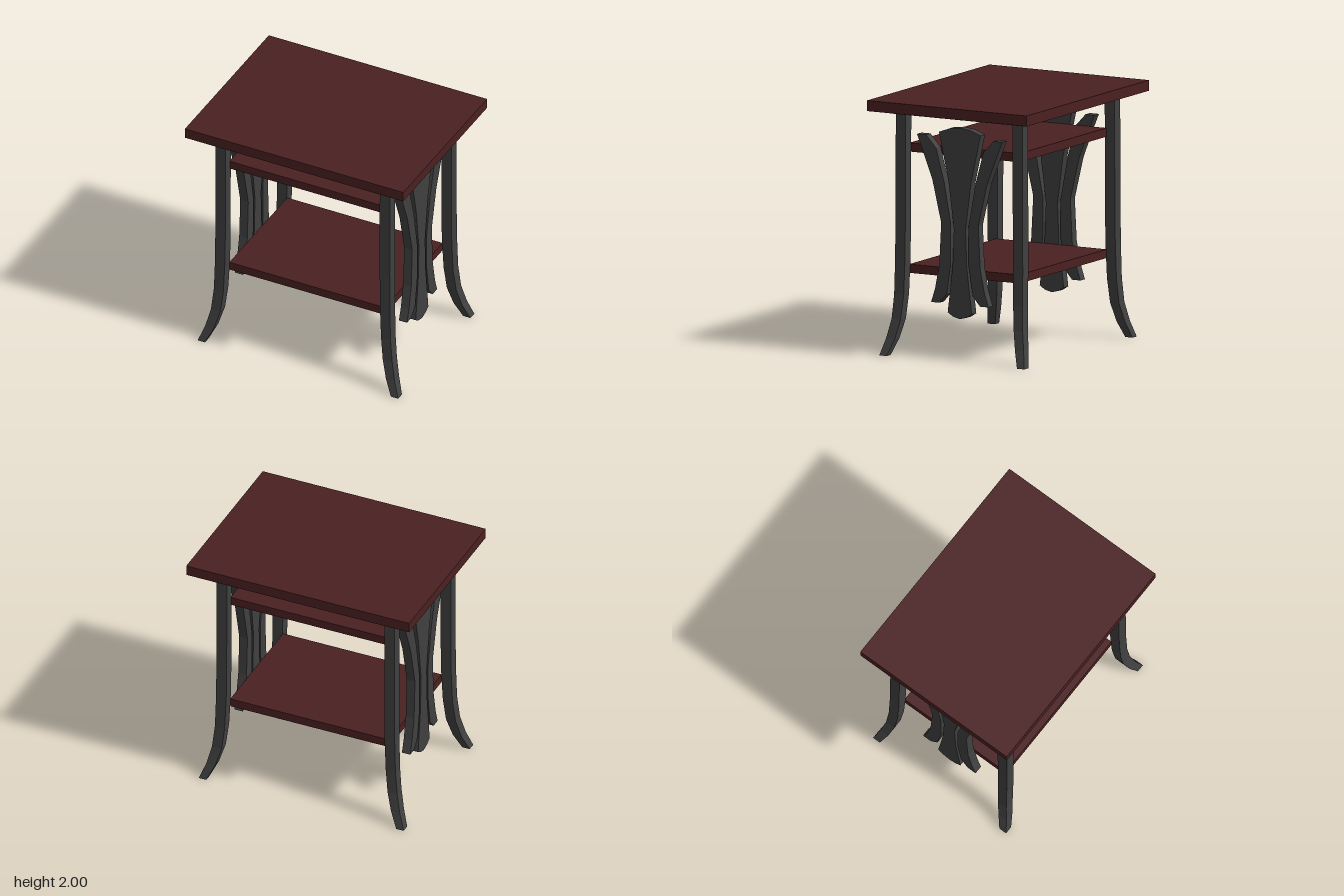
import * as THREE from 'three';

const wood = new THREE.MeshStandardMaterial({ color: 0x4a2021 });
wood.name = 'dark red wood';
const iron = new THREE.MeshStandardMaterial({ color: 0x404040, flatShading: true });
iron.name = 'charcoal grey';

function add(group, name, geometry, material, x = 0, y = 0, z = 0) {
  const mesh = new THREE.Mesh(geometry, material);
  mesh.name = name;
  mesh.position.set(x, y, z);
  group.add(mesh);
  return mesh;
}

// Leg cross-sections from foot to top: y, inner x, outer x, inner z, outer z
const legSections = [
  [0, 0.805, 0.868, 0.58, 0.645],
  [0.13, 0.745, 0.82, 0.535, 0.612],
  [0.28, 0.703, 0.785, 0.503, 0.583],
  [0.47, 0.683, 0.765, 0.487, 0.572],
  [0.75, 0.671, 0.757, 0.48, 0.568],
  [1.08, 0.668, 0.755, 0.478, 0.566],
  [1.89, 0.667, 0.755, 0.476, 0.563],
];

// Square leg, its box rings moved to follow the sections
function legGeometry(sx, sz) {
  const n = legSections.length - 1;
  const g = new THREE.BoxGeometry(1, 1, 1, 1, n, 1);
  const p = g.attributes.position;
  for (let i = 0; i < p.count; i++) {
    const [y, x0, x1, z0, z1] = legSections[Math.round((p.getY(i) + 0.5) * n)];
    p.setXYZ(i,
      sx * (x0 + x1) / 2 + p.getX(i) * (x1 - x0),
      y,
      sz * (z0 + z1) / 2 + p.getZ(i) * (z1 - z0));
  }
  g.computeVertexNormals();
  return g;
}

// Slat outlines as (z, y) points
const centreHalf = [
  [0.107, 0.365], [0.063, 0.73], [0.052, 1.02], [0.1, 1.39], [0.185, 1.77], [0.09, 1.805],
];
const centreSlat = [
  [0, 0.32], [0.06, 0.335], ...centreHalf, [0, 1.815],
  ...centreHalf.slice().reverse().map(([z, y]) => [-z, y]), [-0.06, 0.335],
];
const sideSlat = [
  [0.18, 0.433], [0.255, 0.433], [0.22, 0.54], [0.182, 0.73], [0.165, 1.06], [0.243, 1.39],
  [0.34, 1.64], [0.38, 1.737], [0.3, 1.737], [0.21, 1.64], [0.138, 1.38],
  [0.08, 1.06], [0.08, 0.74], [0.115, 0.51],
];
const slatThickness = 0.07;

// Extrude an outline, then turn it to stand in the side plane
function slatGeometry(points, sign = 1) {
  const shape = new THREE.Shape(points.map(([z, y]) => new THREE.Vector2(sign * z, y)));
  const g = new THREE.ExtrudeGeometry(shape, { depth: slatThickness, bevelEnabled: false });
  g.translate(0, 0, -slatThickness / 2);
  g.rotateY(Math.PI / 2);
  return g;
}

export function createModel() {
  const table = new THREE.Group();
  table.name = 'sideTable';

  // Top and two shelves
  add(table, 'tableTop', new THREE.BoxGeometry(1.89, 0.083, 1.42), wood, 0, 1.9585, 0);
  add(table, 'upperShelf', new THREE.BoxGeometry(1.345, 0.068, 0.98), wood, 0, 1.613, 0);
  add(table, 'lowerShelf', new THREE.BoxGeometry(1.345, 0.068, 0.98), wood, 0, 0.664, 0);

  // Each side frame: rail, two legs and three curved slats
  for (const sx of [1, -1]) {
    const frame = new THREE.Group();
    frame.name = sx > 0 ? 'leftFrame' : 'rightFrame';
    add(frame, 'topRail', new THREE.BoxGeometry(0.145, 0.033, 1.2), iron, sx * 0.708, 1.9, 0);
    const slatX = sx * (0.675 + slatThickness / 2);
    add(frame, 'centreSlat', slatGeometry(centreSlat), iron, slatX);
    for (const sz of [1, -1]) {
      add(frame, sz > 0 ? 'frontLeg' : 'backLeg', legGeometry(sx, sz), iron);
      add(frame, sz > 0 ? 'frontSlat' : 'backSlat', slatGeometry(sideSlat, sz), iron, slatX);
    }
    table.add(frame);
  }
  return table;
}
